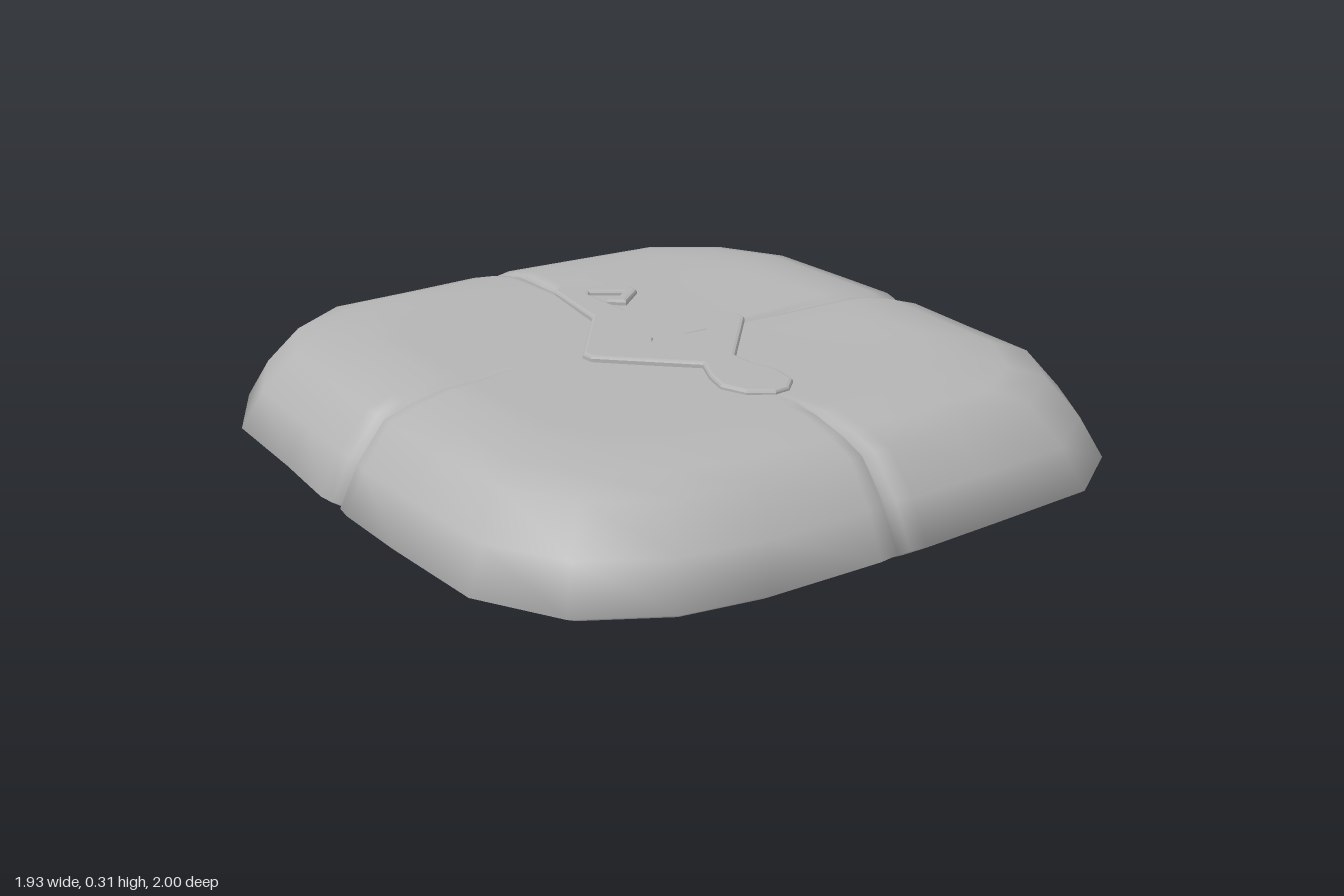
import * as THREE from 'three';

// Plan corners of each quarter, starting on +x and turning towards +z
const QUARTERS = [
  [[0.945, 0.35], [0.93, 0.63], [0.80, 0.84], [0.60, 0.97], [0.3, 0.985]],
  [[-0.38, 0.99], [-0.61, 0.95], [-0.82, 0.83], [-0.94, 0.62], [-0.96, 0.3]],
  [[-0.95, -0.3], [-0.94, -0.61], [-0.82, -0.84], [-0.62, -0.975], [-0.35, -0.985]],
  [[0.35, -0.985], [0.62, -0.97], [0.83, -0.83], [0.95, -0.61], [0.96, -0.3]],
];
// Seams: direction, distance to the edge, sideways shift, scale at which the groove starts
const SEAMS = [
  { dir: [1, 0], edge: 0.965, shift: 0.01, start: 0.28 },
  { dir: [0, 1], edge: 0.995, shift: 0.01, start: 0.64 },
  { dir: [-1, 0], edge: 0.965, shift: 0, start: 0.56 },
  { dir: [0, -1], edge: 1.0, shift: -0.02, start: 0.5 },
];
// Sideways offset and groove depth across one seam
const GROOVE = [[-0.07, 0], [-0.022, 0.007], [0, 0.028], [0.022, 0.007], [0.07, 0]];
// Profile of the stone: plan scale and height
const PROFILE = [
  [0.92, 0], [1, 0.05], [0.945, 0.155], [0.865, 0.255], [0.78, 0.28], [0.68, 0.299],
  [0.6, 0.299], [0.5, 0.297], [0.4, 0.295], [0.28, 0.293], [0.12, 0.292], [0, 0.292],
];

// One horizontal loop of the stone
function ring(scale, y) {
  const points = [];
  SEAMS.forEach(({ dir: [dx, dz], edge, shift, start }, i) => {
    for (const [side, cut] of GROOVE) {
      const depth = scale >= start ? cut : 0;
      const inward = y < 0.26 ? depth : 0;
      const down = y > 0.25 ? depth * 0.7 : 0;
      const r = edge * scale - inward;
      const s = (side + shift) * scale;
      points.push([dx * r - dz * s, y - down, dz * r + dx * s]);
    }
    for (const [x, z] of QUARTERS[i]) points.push([x * scale, y, z * scale]);
  });
  return points;
}

function stoneGeometry() {
  const rings = PROFILE.map(([s, y]) => ring(s, y));
  const n = rings[0].length;
  const index = [];
  for (let k = 0; k < rings.length - 1; k++) {
    for (let j = 0; j < n; j++) {
      const a = k * n + j, b = k * n + (j + 1) % n;
      index.push(a, a + n, b + n);
      if (k < rings.length) index.push(a, b + n, b);
    }
  }
  const geo = new THREE.BufferGeometry();
  geo.setAttribute('position', new THREE.Float32BufferAttribute(rings.flat(2), 3));
  geo.setIndex(index);
  geo.computeVertexNormals();
  return geo;
}

const path = (points) => points.map(([x, z]) => new THREE.Vector2(x, -z));

// Raised sign: hooked stem, diamond frame with a spur, and a drop-shaped loop
function signGeometry() {
  const shape = new THREE.Shape(path([
    [-0.075, -0.22], [-0.037, -0.475], [0, -0.51], [0.163, -0.39], [0.163, -0.355],
    [0.08, -0.285], [0.037, -0.32], [0.068, -0.347], [0.085, -0.33], [0.122, -0.365],
    [0.043, -0.415], [0.027, -0.395], [0.032, -0.222], [0.268, -0.02], [0.265, 0.015],
    [0.058, 0.25], [0.058, 0.315], [0.08, 0.4], [0.068, 0.475], [0.026, 0.515],
    [-0.02, 0.52], [-0.08, 0.48], [-0.106, 0.41], [-0.085, 0.335], [-0.048, 0.255],
    [-0.255, 0.055], [-0.258, 0.02],
  ]));
  const diamond = [
    [-0.005, -0.16], [0.17, -0.01], [0.045, 0.15], [0.032, 0.0], [0, -0.03],
    [-0.037, 0.01], [-0.042, 0.13], [-0.153, 0.027],
  ];
  const drop = [
    [-0.016, 0.333], [0.005, 0.38], [-0.005, 0.434], [-0.026, 0.45], [-0.048, 0.413], [-0.042, 0.375],
  ];
  shape.holes.push(new THREE.Path(path(diamond)), new THREE.Path(path(drop)));
  const geo = new THREE.ExtrudeGeometry(shape, {
    depth: 0.02, bevelEnabled: true, bevelThickness: 0.007, bevelSize: 0.009,
    bevelOffset: -0.009, bevelSegments: 2,
  });
  return geo.rotateX(-Math.PI / 2).translate(0, 0.282, 0);
}

export function createModel() {
  const group = new THREE.Group();
  group.name = 'carvedStone';
  const stone = new THREE.MeshStandardMaterial({ color: 0xb4b4b4 });
  stone.name = 'stoneGrey';

  const add = (name, geo) => {
    const mesh = new THREE.Mesh(geo, stone);
    mesh.name = name;
    group.add(mesh);
  };

  add('stoneBody', stoneGeometry());

  // Flat underside, closing the lowest loop
  const base = new THREE.Shape(ring(...PROFILE[0]).map(([x, , z]) => new THREE.Vector2(x, z)));
  add('underside', new THREE.ShapeGeometry(base).rotateX(Math.PI / 2));

  add('raisedSign', signGeometry());
  return group;
}
